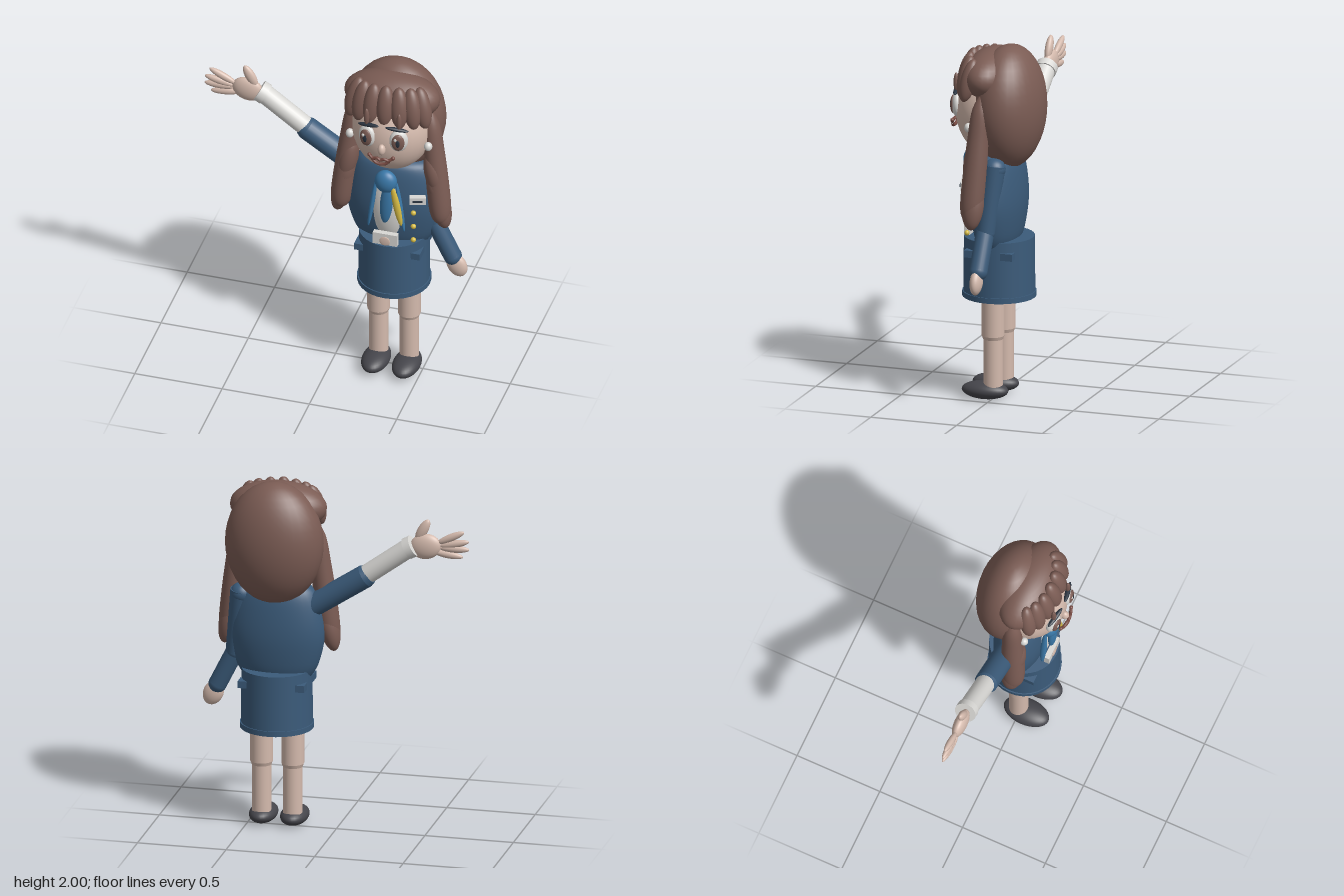
import * as THREE from 'three';

const mat = (name, color) => {
  const m = new THREE.MeshStandardMaterial({ color });
  m.name = name;
  return m;
};
const V = (x, y, z) => new THREE.Vector3(x, y, z);

export function createModel() {
  const skin = mat('skin', 0xd4baad), hair = mat('hair brown', 0x7b5c54), navy = mat('navy cloth', 0x3b5b7a);
  const blue = mat('scarf blue', 0x3a78a8), white = mat('white', 0xd9d8d5), gold = mat('gold', 0xd6bb45);
  const black = mat('shoe black', 0x45454b), dark = mat('dark line', 0x2b3440), lip = mat('lip brown', 0x774a42);

  const model = new THREE.Group();
  const body = new THREE.Group(); // the figure stands off centre because of the raised arm
  body.name = 'figure';
  body.position.x = 0.333;
  model.add(body);

  const add = (name, geo, m, x = 0, y = 0, z = 0, rz = 0, rx = 0, ry = 0) => {
    const mesh = new THREE.Mesh(geo, m);
    mesh.name = name;
    mesh.position.set(x, y, z);
    mesh.rotation.set(rx, ry, rz);
    body.add(mesh);
    return mesh;
  };
  const ball = (name, m, x, y, z, a, b, c, rz = 0, rx = 0, ry = 0) => {
    const mesh = add(name, new THREE.SphereGeometry(1, 32, 20), m, x, y, z, rz, rx, ry);
    mesh.scale.set(a, b, c);
    return mesh;
  };
  const box = (name, m, x, y, z, w, h, d, rz = 0, rx = 0, ry = 0) =>
    add(name, new THREE.BoxGeometry(w, h, d), m, x, y, z, rz, rx, ry);
  // Tapered cylinder from point a to point b
  const limb = (name, m, a, b, ra, rb = ra) => {
    const d = b.clone().sub(a), c = a.clone().add(b).multiplyScalar(0.5);
    const mesh = add(name, new THREE.CylinderGeometry(rb, ra, d.length(), 24), m, c.x, c.y, c.z);
    mesh.quaternion.setFromUnitVectors(V(0, 1, 0), d.normalize());
    return mesh;
  };
  const tube = (name, m, pts, r) =>
    add(name, new THREE.TubeGeometry(new THREE.CatmullRomCurve3(pts), 24, r, 8), m);
  const lathe = (pts) => new THREE.LatheGeometry(
    new THREE.SplineCurve(pts.map(([r, y]) => new THREE.Vector2(r, y))).getPoints(32), 32);

  // Head, nose and hair
  ball('head', skin, 0, 1.625, 0.015, 0.225, 0.26, 0.215);
  ball('nose', skin, 0, 1.6, 0.232, 0.022, 0.034, 0.025);
  ball('backHair', hair, 0, 1.652, -0.07, 0.275, 0.348, 0.197);
  ball('hairCap', hair, 0, 1.835, 0.025, 0.272, 0.14, 0.15);
  for (let i = -3; i <= 3; i++) {
    const t = i * 0.36;
    ball('fringeLobe', hair, 0.22 * Math.sin(t), 1.845 - 0.005 * Math.abs(i), 0.045 + 0.115 * Math.cos(t),
      0.05, 0.122, 0.045, i * 0.07, -0.2);
  }

  // Face, ears and side locks, mirrored
  for (const s of [-1, 1]) {
    ball('eyeWhite', white, s * 0.09, 1.66, 0.205, 0.052, 0.068, 0.03, 0, 0, s * 0.3);
    ball('iris', hair, s * 0.092, 1.66, 0.226, 0.036, 0.052, 0.016, 0, 0, s * 0.2);
    ball('pupil', dark, s * 0.092, 1.66, 0.239, 0.014, 0.024, 0.005);
    ball('eyeGlint', white, s * 0.092 - 0.012, 1.682, 0.24, 0.008, 0.01, 0.004);
    ball('eyebrow', dark, s * 0.082, 1.737, 0.212, 0.065, 0.011, 0.014, -s * 0.15, 0, s * 0.2);
    ball('fringeStrand', hair, s * 0.093, 1.785, 0.208, 0.015, 0.055, 0.015);
    ball('ear', skin, s * 0.222, 1.64, 0.035, 0.03, 0.045, 0.035);
    ball('earring', white, s * 0.224, 1.57, 0.09, 0.023, 0.027, 0.023);
    const lock = add('sideLock', lathe([[0.001, -0.36], [0.04, -0.34], [0.06, -0.27], [0.062, -0.1],
      [0.056, 0.1], [0.045, 0.27], [0.001, 0.38]]), hair, s * 0.252, 1.405, 0.035, s * 0.11, -0.06);
    lock.scale.z = 1.06;
    for (let k = 0; k < 3; k++)
      ball('lockWave', hair, s * (0.25 + 0.015 * k), 1.36 - 0.1 * k, 0.045, 0.056, 0.15, 0.064, s * 0.22);
  }
  tube('upperLip', lip, [V(-0.068, 1.56, 0.24), V(-0.045, 1.545, 0.248), V(-0.018, 1.553, 0.253), V(0, 1.545, 0.255),
    V(0.018, 1.553, 0.253), V(0.045, 1.545, 0.248), V(0.068, 1.56, 0.24)], 0.009);
  tube('lowerLip', lip, [V(-0.05, 1.543, 0.246), V(-0.028, 1.523, 0.25), V(0, 1.517, 0.252),
    V(0.028, 1.523, 0.25), V(0.05, 1.543, 0.246)], 0.009);
  for (const s of [-1, 1]) ball('lipCorner', lip, s * 0.068, 1.56, 0.24, 0.011, 0.011, 0.011);

  // Jacket and shirt front
  limb('neck', skin, V(0, 1.33, 0), V(0, 1.45, 0), 0.08);
  const jacket = add('jacket', lathe([[0.19, 0.87], [0.235, 0.95], [0.268, 1.09], [0.262, 1.22],
    [0.225, 1.35], [0.16, 1.405], [0.001, 1.42]]), navy, 0, 0, -0.01);
  jacket.scale.z = 0.53;
  ball('shirt', white, 0, 1.13, 0.035, 0.13, 0.27, 0.115);

  // Scarf with its tails and the yellow band
  ball('scarfKnot', blue, 0, 1.33, 0.15, 0.063, 0.07, 0.045);
  ball('scarfTail', blue, 0.005, 1.19, 0.155, 0.036, 0.135, 0.024, -0.08);
  ball('yellowBand', gold, 0.068, 1.19, 0.17, 0.02, 0.13, 0.014, 0.2);
  for (const s of [-1, 1])
    ball('lapelEdge', blue, s * 0.08, 1.17, 0.142, 0.013, 0.165, 0.018, s * 0.14);

  // Buttons, name tag and belt pouch
  for (const y of [1.13, 1.04, 0.95]) ball('button', gold, 0.15, y, 0.125, 0.015, 0.015, 0.014);
  box('nameTag', white, 0.178, 1.23, 0.135, 0.088, 0.045, 0.03, 0, 0, 0.3);
  box('nameTagBar', dark, 0.183, 1.23, 0.152, 0.055, 0.009, 0.006, 0, 0, 0.3);
  box('pouch', white, 0, 0.945, 0.155, 0.14, 0.085, 0.03);
  ball('pouchClasp', skin, 0, 0.94, 0.171, 0.03, 0.03, 0.005);

  // Skirt, hem and the four flaps
  add('skirt', new THREE.CylinderGeometry(0.195, 0.198, 0.34, 32), navy, 0, 0.745, -0.01);
  add('skirtHem', new THREE.CylinderGeometry(0.204, 0.204, 0.03, 32), navy, 0, 0.588, -0.01);
  for (const s of [-1, 1]) {
    box('frontFlap', navy, s * 0.158, 0.84, 0.075, 0.06, 0.04, 0.11);
    box('backFlap', navy, s * 0.158, 0.84, -0.115, 0.06, 0.04, 0.07);
  }

  // Legs and shoes
  for (const s of [-1, 1]) {
    const x = s * 0.088;
    limb('thigh', skin, V(x, 0.365, -0.005), V(x, 0.62, -0.005), 0.063);
    limb('knee', skin, V(x, 0.345, -0.005), V(x, 0.365, -0.005), 0.055, 0.063);
    limb('shin', skin, V(x, 0.06, -0.005), V(x, 0.36, -0.005), 0.054);
    ball('shoe', black, x, 0.05, 0.042, 0.077, 0.05, 0.133);
  }

  // Lowered left arm
  limb('leftUpperSleeve', navy, V(0.19, 1.36, -0.05), V(0.235, 0.99, -0.015), 0.062, 0.052);
  ball('leftShoulder', navy, 0.19, 1.34, -0.05, 0.062, 0.06, 0.062);
  ball('leftElbow', navy, 0.235, 0.99, -0.015, 0.052, 0.052, 0.052);
  limb('leftForeSleeve', navy, V(0.23, 1.0, -0.012), V(0.335, 0.79, -0.008), 0.051);
  ball('leftCuff', navy, 0.335, 0.79, -0.008, 0.051, 0.051, 0.051);
  ball('leftHand', skin, 0.36, 0.737, -0.005, 0.056, 0.075, 0.034, 0.45);

  // Raised right arm
  limb('rightUpperSleeve', navy, V(-0.15, 1.25, -0.012), V(-0.5, 1.478, -0.012), 0.065);
  limb('rightSleeveEnd', navy, V(-0.5, 1.478, -0.012), V(-0.523, 1.493, -0.012), 0.065, 0.055);
  limb('rightForearm', white, V(-0.49, 1.475, -0.012), V(-0.755, 1.668, -0.012), 0.055);
  limb('rightCuff', white, V(-0.735, 1.655, -0.012), V(-0.772, 1.675, -0.012), 0.061);

  // Open right hand with four fingers and a thumb
  ball('rightPalm', skin, -0.838, 1.675, -0.008, 0.088, 0.072, 0.036, -0.2);
  const fingers = [[-0.98, 1.735, -0.45], [-1.0, 1.7, -0.22], [-1.0, 1.672, 0], [-0.965, 1.637, 0.12]];
  fingers.forEach(([x, y, a]) => ball('finger', skin, x, y, -0.005, 0.085, 0.021, 0.018, a));
  ball('thumb', skin, -0.822, 1.765, -0.005, 0.029, 0.072, 0.022, 0.5);

  return model;
}
